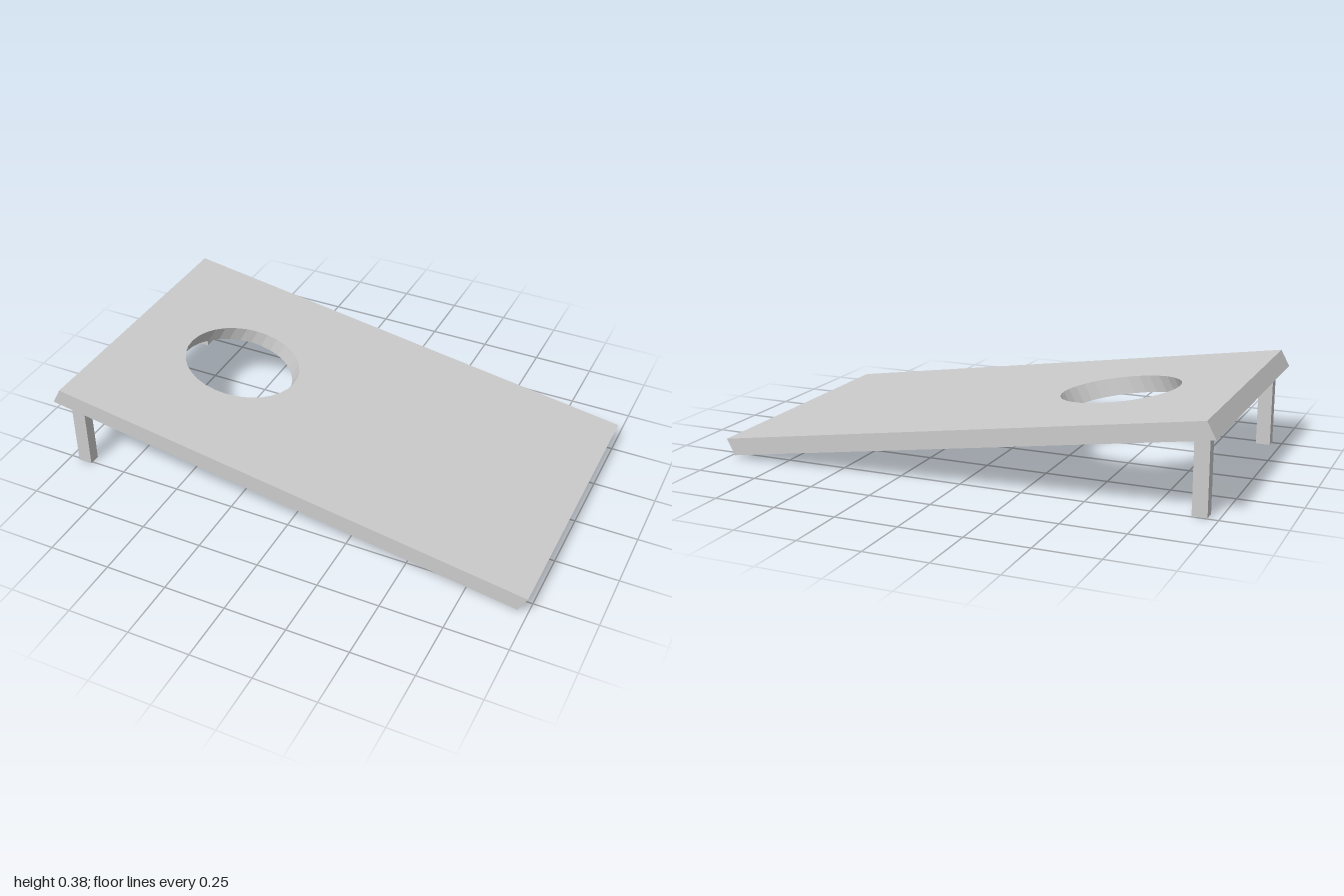
import * as THREE from 'three';

export function createModel() {
  const group = new THREE.Group();
  const material = new THREE.MeshStandardMaterial({ color: 0xcccccc, flatShading: true });

  // Board outline with the throwing hole, drawn flat
  const halfL = 0.982, halfW = 0.568;
  const outline = new THREE.Shape([
    new THREE.Vector2(-halfL, -halfW), new THREE.Vector2(halfL, -halfW),
    new THREE.Vector2(halfL, halfW), new THREE.Vector2(-halfL, halfW),
  ]);
  outline.holes.push(new THREE.Path().absellipse(-0.485, 0.014, 0.2375, 0.222, 0, Math.PI * 2, true));
  const boardGeometry = new THREE.ExtrudeGeometry(outline, { depth: 1, bevelEnabled: false, curveSegments: 16 });

  // Slope the board down to +x; the thickness leans, so the ends are slanted
  boardGeometry.applyMatrix4(new THREE.Matrix4().makeBasis(
    new THREE.Vector3(1, -0.153, 0.004),
    new THREE.Vector3(0, -0.0044, -1),
    new THREE.Vector3(0.035, 0.065, 0),
  ).setPosition(-0.018, 0.165, -0.002));
  const board = new THREE.Mesh(boardGeometry, material);
  board.name = 'board';
  group.add(board);

  // Two upright legs under the raised end
  const legHeight = 0.315;
  for (const [name, z] of [['frontLeg', 0.486], ['backLeg', -0.468]]) {
    const leg = new THREE.Mesh(new THREE.BoxGeometry(0.058, legHeight, 0.047), material);
    leg.name = name;
    leg.position.set(-0.929, legHeight / 2, z);
    group.add(leg);
  }
  return group;
}
